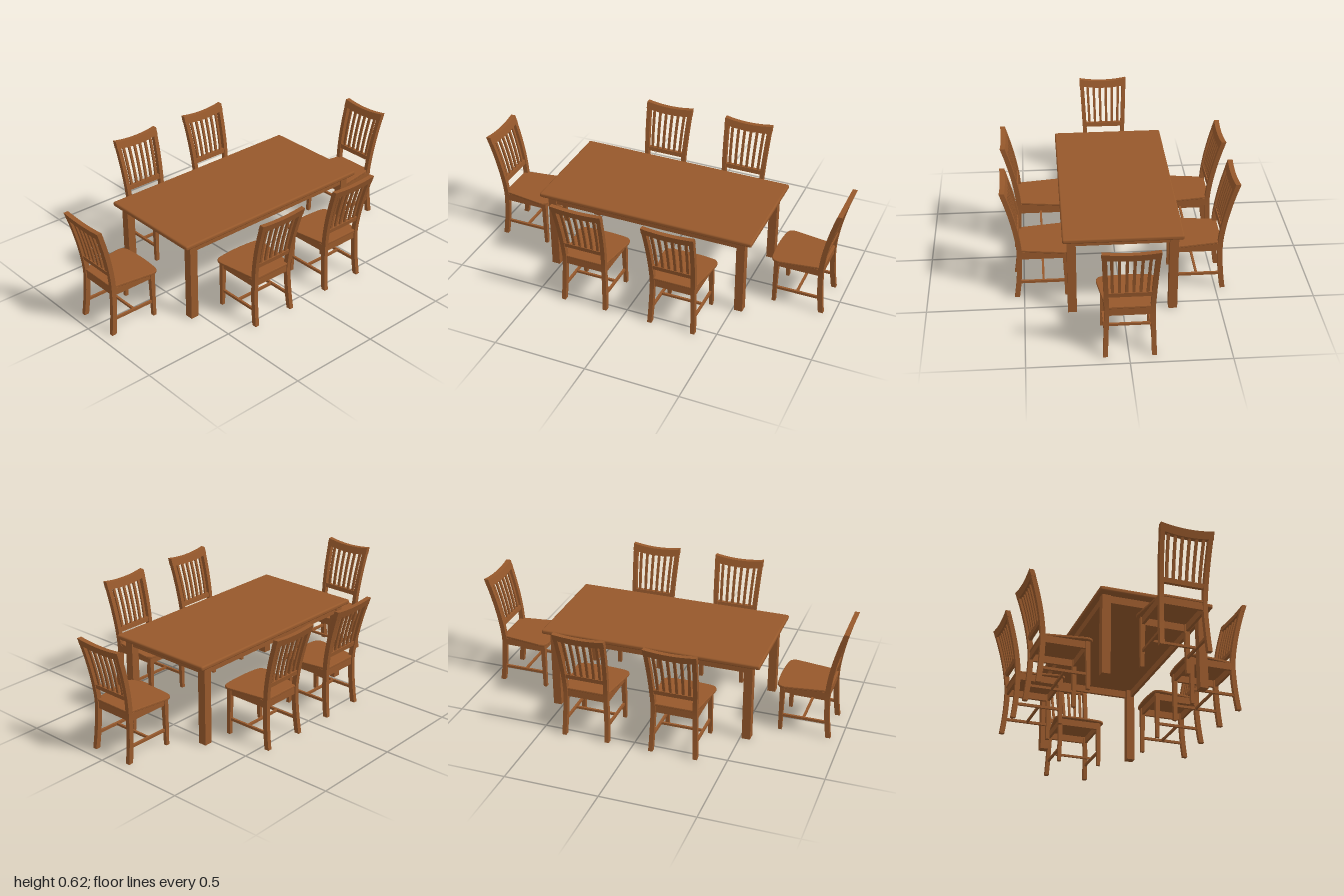
import * as THREE from 'three';
import { RoundedBoxGeometry } from 'three/addons/geometries/RoundedBoxGeometry.js';

const wood = new THREE.MeshStandardMaterial({ color: 0x96582b });
wood.name = 'warm brown wood';

function add(parent, name, geometry) {
  const mesh = new THREE.Mesh(geometry, wood);
  mesh.name = name;
  parent.add(mesh);
  return mesh;
}

// Box given by its limits on each axis
function box(parent, name, [x0, x1], [y0, y1], [z0, z1]) {
  const g = new THREE.BoxGeometry(x1 - x0, y1 - y0, z1 - z0);
  g.translate((x0 + x1) / 2, (y0 + y1) / 2, (z0 + z1) / 2);
  return add(parent, name, g);
}

// Unit box whose vertices (each axis -0.5..0.5) are moved by a rule
function warpedBox(parent, name, sx, sy, rule) {
  const g = new THREE.BoxGeometry(1, 1, 1, sx, sy, 1);
  const p = g.attributes.position;
  for (let i = 0; i < p.count; i++) {
    p.setXYZ(i, ...rule(p.getX(i), p.getY(i), p.getZ(i)));
  }
  g.computeVertexNormals();
  return add(parent, name, g);
}

const lerp = THREE.MathUtils.lerp;

// Depth of the curved chair back at height y
function backZ(y) {
  return y > 0.25
    ? 0.087 - 0.376 * Math.pow(y - 0.25, 1.6)
    : 0.087 - 0.0195 * Math.pow((0.25 - y) / 0.25, 2);
}

// Centre of the back post across the chair at height y
function postX(y) {
  return y > 0.25
    ? lerp(0.110, 0.126, (y - 0.25) / 0.365)
    : lerp(0.119, 0.110, y / 0.25);
}

// Chair facing +z, with the tip of its back at z = 0
function createChair() {
  const chair = new THREE.Group();

  // Seat: wider at the front, rounded corners, bowed front edge
  const s = new THREE.Shape();
  s.moveTo(-0.113, 0.08);
  s.lineTo(0.113, 0.08);
  s.lineTo(0.145, 0.305);
  s.quadraticCurveTo(0.147, 0.342, 0.112, 0.347);
  s.quadraticCurveTo(0, 0.361, -0.112, 0.347);
  s.quadraticCurveTo(-0.147, 0.342, -0.145, 0.305);
  s.closePath();
  const seat = new THREE.ExtrudeGeometry(s, {
    depth: 0.007, bevelThickness: 0.003, bevelSize: 0.003, bevelSegments: 2, curveSegments: 10,
  });
  seat.rotateX(Math.PI / 2);
  seat.translate(0, 0.272, 0);
  add(chair, 'seat', seat);

  for (const side of [-1, 1]) {
    // Back post, bent from the floor to the top rail
    warpedBox(chair, 'backPost', 1, 20, (x, y, z) => {
      const h = (y + 0.5) * 0.604;
      return [side * postX(h) + x * 0.023, h, backZ(h) + z * 0.026];
    });
    // Front leg, tapered on its inner faces
    warpedBox(chair, 'frontLeg', 1, 1, (x, y, z) => {
      const t = y + 0.5;
      const w = lerp(0.019, 0.025, t);
      return [side * (0.128 - w / 2) + x * w, t * 0.263, 0.335 - w / 2 + z * w];
    });
    const sx = side * 0.115;
    box(chair, 'sideApron', [sx - 0.007, sx + 0.007], [0.224, 0.263], [0.09, 0.32]);
    box(chair, 'sideStretcher', [sx - 0.006, sx + 0.006], [0.077, 0.091], [0.08, 0.325]);
  }
  box(chair, 'frontApron', [-0.115, 0.115], [0.224, 0.263], [0.316, 0.331]);
  box(chair, 'backApron', [-0.11, 0.11], [0.224, 0.27], [0.08, 0.094]);
  box(chair, 'crossStretcher', [-0.115, 0.115], [0.078, 0.09], [0.2, 0.212]);

  // Lower back rail
  warpedBox(chair, 'lowerBackRail', 1, 2, (x, y, z) => {
    const h = 0.346 + y * 0.024;
    return [x * 0.225, h, backZ(h) + z * 0.018];
  });

  // Top rail, dipping in the middle
  warpedBox(chair, 'topRail', 12, 4, (x, y, z) => {
    const h = 0.585 + y * 0.038 + 0.012 * 4 * x * x;
    return [x * 0.276, h, backZ(h) + z * 0.026];
  });

  // Slats, fanning slightly outward
  for (let i = 0; i < 6; i++) {
    warpedBox(chair, 'backSlat', 1, 10, (x, y, z) => {
      const h = lerp(0.35, 0.575, y + 0.5);
      const spacing = lerp(0.0335, 0.0365, y + 0.5);
      return [(i - 2.5) * spacing + x * 0.014, h, backZ(h) + z * 0.01];
    });
  }
  return chair;
}

function createTable() {
  const table = new THREE.Group();
  table.name = 'table';

  const top = add(table, 'tableTop', new RoundedBoxGeometry(1.19, 0.025, 0.604, 3, 0.009));
  top.position.y = 0.4425;

  for (const sx of [-1, 1]) {
    for (const sz of [-1, 1]) {
      const leg = add(table, 'tableLeg', new THREE.BoxGeometry(0.045, 0.432, 0.045));
      leg.position.set(sx * 0.532, 0.216, sz * 0.257);
    }
    const end = add(table, 'endApron', new THREE.BoxGeometry(0.016, 0.042, 0.48));
    end.position.set(sx * 0.54, 0.411, 0);
    const long = add(table, 'longApron', new THREE.BoxGeometry(1.03, 0.042, 0.016));
    long.position.set(0, 0.411, sx * 0.265);
  }
  return table;
}

export function createModel() {
  const model = new THREE.Group();
  model.name = 'diningSet';
  model.add(createTable());

  // Chair name, x and z of the back tip, turn about y
  const places = [
    ['backRightChair', -0.222, -0.606, 0],
    ['backLeftChair', 0.255, -0.606, 0],
    ['frontRightChair', -0.228, 0.604, Math.PI],
    ['frontLeftChair', 0.265, 0.604, Math.PI],
    ['rightEndChair', -0.999, 0, Math.PI / 2],
    ['leftEndChair', 0.999, -0.004, -Math.PI / 2],
  ];
  for (const [name, x, z, turn] of places) {
    const chair = createChair();
    chair.name = name;
    chair.position.set(x, 0, z);
    chair.rotation.y = turn;
    model.add(chair);
  }
  return model;
}
